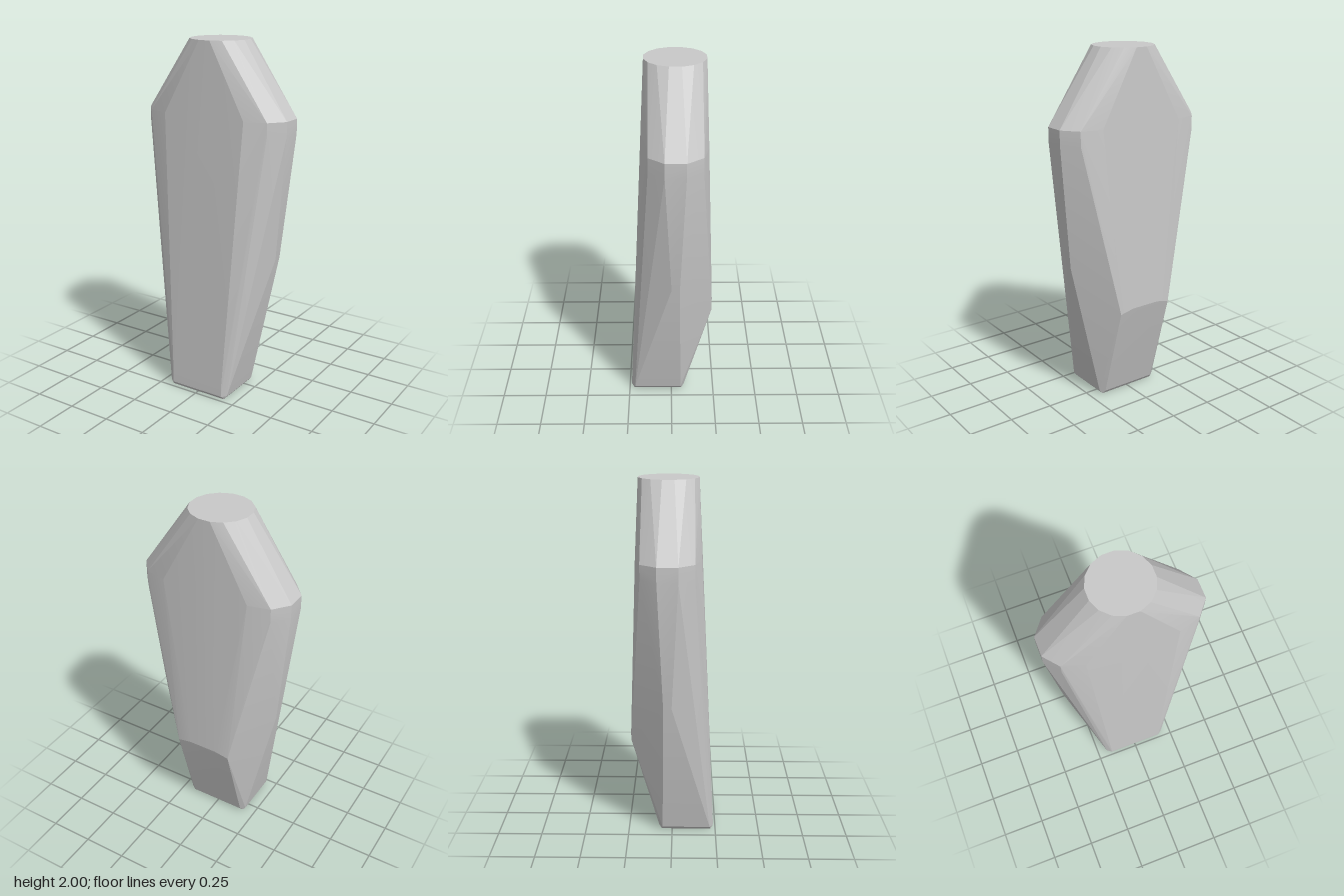
import * as THREE from 'three';
import { ConvexGeometry } from 'three/addons/geometries/ConvexGeometry.js';
import { toCreasedNormals } from 'three/addons/utils/BufferGeometryUtils.js';

export function createModel() {
  const model = new THREE.Group();
  const grey = new THREE.MeshStandardMaterial({ color: 0xc8c8c8 });
  grey.name = 'light grey';

  const points = [];
  // Adds a corner on both sides of the body
  const pair = (x, y, z) => {
    for (const s of [1, -1]) points.push(new THREE.Vector3(s * x, y, z));
  };

  // Round flat top with sixteen sides
  for (let i = 0; i < 8; i++) {
    const a = (i + 0.5) * Math.PI / 8;
    pair(0.169 * Math.sin(a), 2, -0.02 + 0.167 * Math.cos(a));
  }

  // Shoulder band, widest part of the body
  for (const y of [1.52, 1.6]) {
    pair(0.44, y, 0.035);
    pair(0.44, y, -0.075);
    pair(0.37, y, 0.12);
    pair(0.37, y, -0.163);
  }
  pair(0.25, 1.6, 0.157);
  pair(0.25, 1.6, -0.192);

  // Waist kink on the sides
  pair(0.37, 0.82, 0);
  pair(0.37, 0.82, -0.045);

  // Ridge low on the back
  pair(0.165, 0.56, -0.231);
  pair(0.085, 0.58, -0.236);

  // Foot with a small bevel
  pair(0.165, 0.02, 0.237);
  pair(0.165, 0.07, 0.236);
  pair(0.192, 0.02, 0.218);
  pair(0.192, 0.02, -0.055);
  pair(0.165, 0.02, -0.075);
  pair(0.175, 0, 0.222);
  pair(0.175, 0, -0.06);

  const body = new THREE.Mesh(toCreasedNormals(new ConvexGeometry(points), 0.2), grey);
  body.name = 'body';
  model.add(body);
  return model;
}
